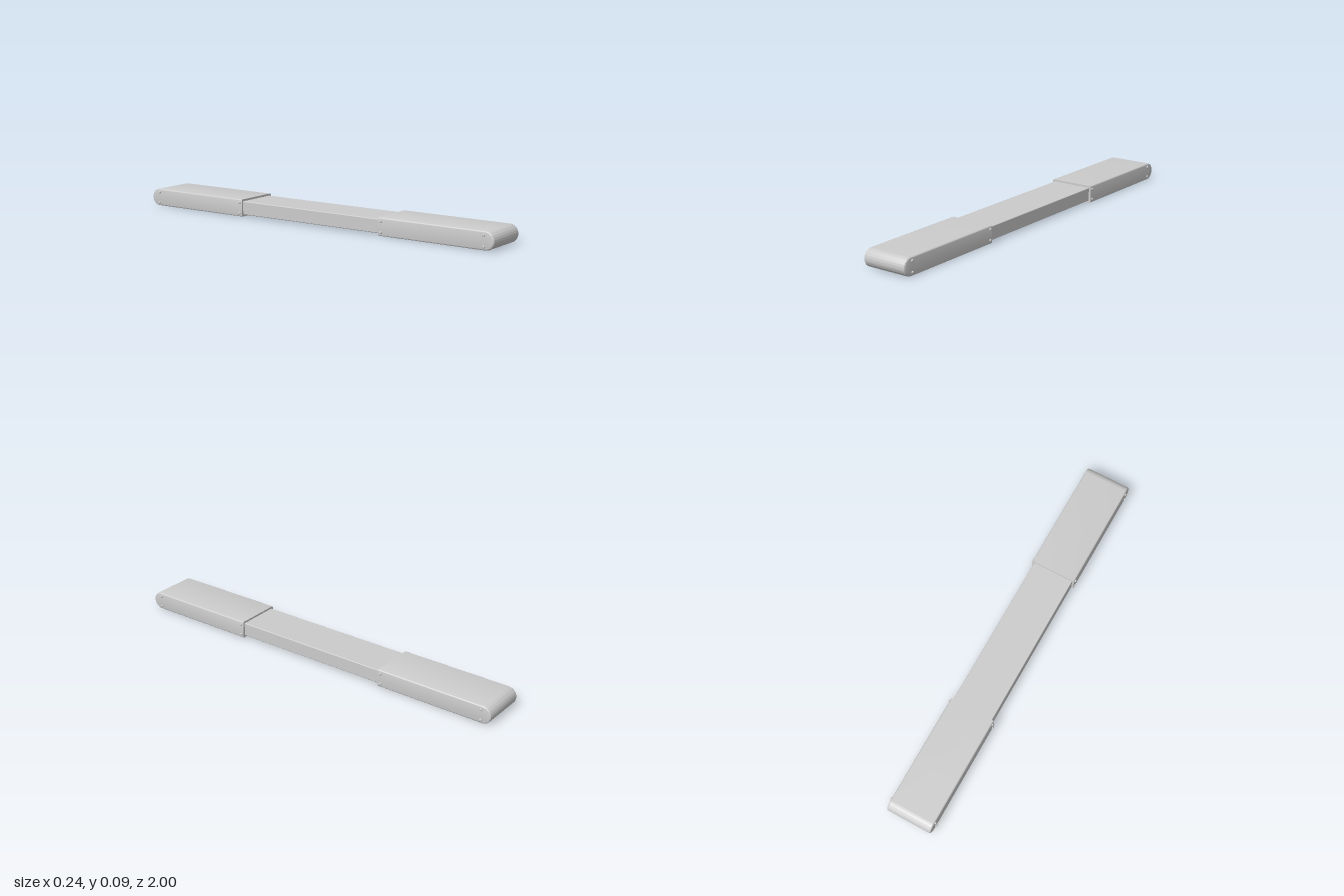
import * as THREE from 'three';
import { toCreasedNormals } from 'three/addons/utils/BufferGeometryUtils.js';
import { RoundedBoxGeometry } from 'three/addons/geometries/RoundedBoxGeometry.js';

const HEIGHT = 0.086, HALF_WIDTH = 0.115, BEVEL = 0.006;
const INNER = 0.402, OUTER = 1;
const MID = HEIGHT / 2;

// Sleeve: side profile with a round outer end, extruded across the width
function sleeveGeometry() {
  const r = MID - BEVEL;
  const zc = OUTER - MID;
  const shape = new THREE.Shape();
  shape.moveTo(INNER, -r);
  shape.lineTo(zc, -r);
  shape.absarc(zc, 0, r, -Math.PI / 2, Math.PI / 2, false);
  shape.lineTo(INNER, r);
  shape.closePath();
  const depth = 2 * (HALF_WIDTH - BEVEL);
  const geo = new THREE.ExtrudeGeometry(shape, {
    depth, curveSegments: 24,
    bevelEnabled: true, bevelSize: BEVEL, bevelThickness: BEVEL, bevelSegments: 3,
  });
  geo.translate(0, 0, -depth / 2);
  geo.rotateY(-Math.PI / 2);
  // Flatten the inner end so only the long edges stay rounded
  const p = geo.attributes.position;
  for (let i = 0; i < p.count; i++) {
    if (p.getZ(i) < INNER + 0.02) p.setZ(i, INNER);
  }
  geo.translate(0, MID, 0);
  return toCreasedNormals(geo, 0.7);
}

// Small round-headed screw pointing along +x
function screwGeometry() {
  const profile = [[0.0065, -0.004], [0.0065, 0.003], [0.0058, 0.005], [0.0042, 0.006], [0, 0.0062]]
    .map(([x, y]) => new THREE.Vector2(x, y));
  const geo = new THREE.LatheGeometry(profile, 16);
  geo.rotateZ(-Math.PI / 2);
  return geo;
}

export function createModel() {
  const model = new THREE.Group();
  model.name = 'slidingBar';
  const material = new THREE.MeshStandardMaterial({ color: 0xcccccc });

  // Slimmer central bar
  const bar = new THREE.Mesh(new RoundedBoxGeometry(0.21, 0.067, 0.9, 3, 0.004), material);
  bar.name = 'centreBar';
  bar.position.y = MID;
  model.add(bar);

  // Matching end sleeves, each with four screws per side
  const sleeveGeo = sleeveGeometry();
  const screwGeo = screwGeometry();
  for (const [name, turn] of [['frontEnd', 0], ['backEnd', Math.PI]]) {
    const end = new THREE.Group();
    end.name = name;
    end.rotation.y = turn;
    const sleeve = new THREE.Mesh(sleeveGeo, material);
    sleeve.name = 'sleeve';
    end.add(sleeve);
    for (const side of [1, -1]) {
      for (const z of [0.417, 0.95]) {
        for (const y of [0.017, 0.069]) {
          const screw = new THREE.Mesh(screwGeo, material);
          screw.name = 'screw';
          screw.position.set(side * HALF_WIDTH, y, z);
          screw.rotation.y = side > 0 ? 0 : Math.PI;
          end.add(screw);
        }
      }
    }
    model.add(end);
  }
  return model;
}
